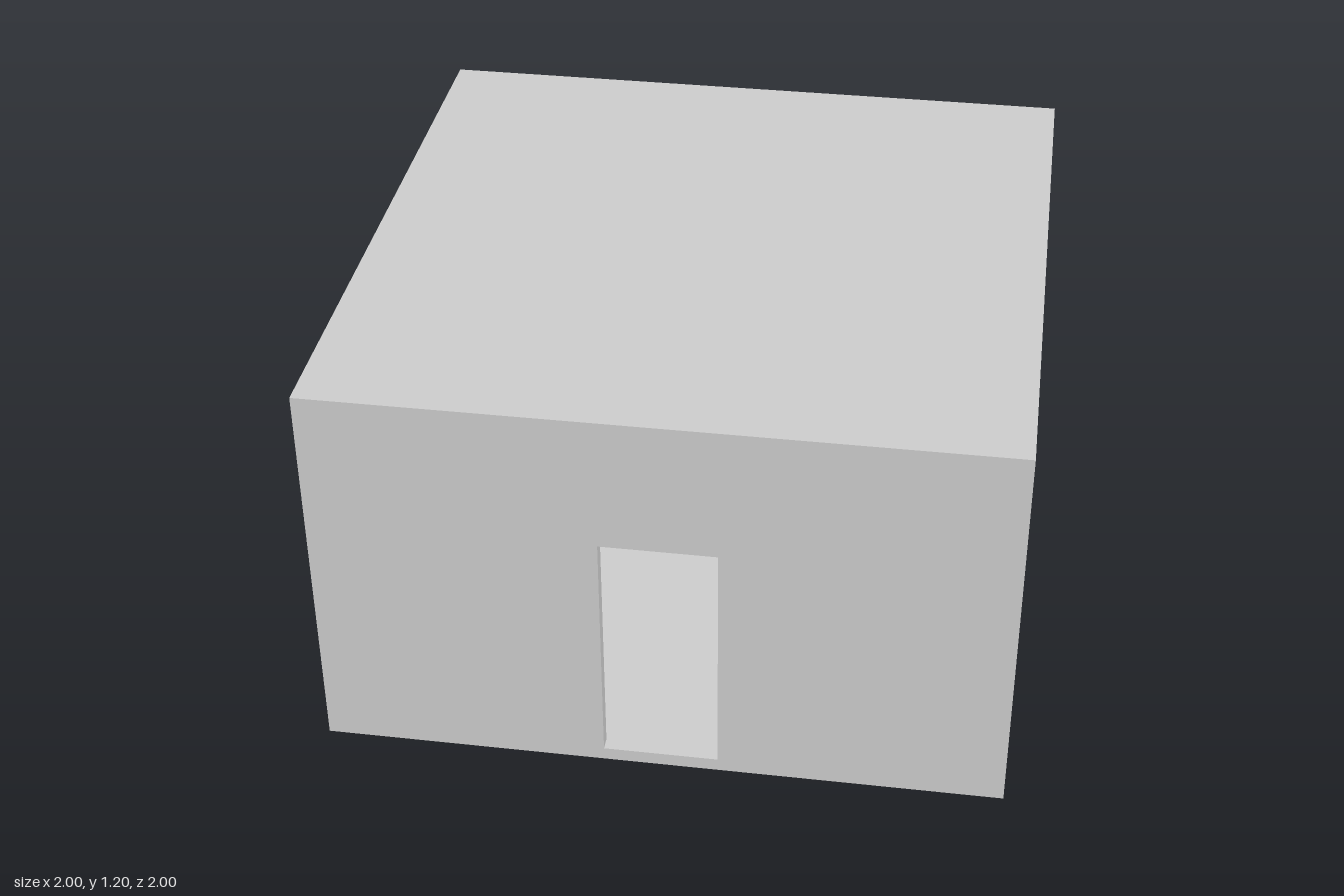
import * as THREE from 'three';

const SIZE = 2, HEIGHT = 1.2, T = 0.04;
const DOOR = { half: 0.168, bottom: T, top: 0.787 };

// Rectangular panel, outer face on z = 0 facing +z, with its inner rim mitred by T
function panelGeometry(w, h, withDoor) {
  const shape = new THREE.Shape([
    new THREE.Vector2(-w / 2, -h / 2), new THREE.Vector2(w / 2, -h / 2),
    new THREE.Vector2(w / 2, h / 2), new THREE.Vector2(-w / 2, h / 2),
  ]);
  if (withDoor) {
    const b = DOOR.bottom - h / 2, t = DOOR.top - h / 2, d = DOOR.half;
    shape.holes.push(new THREE.Path([
      new THREE.Vector2(-d, b), new THREE.Vector2(-d, t),
      new THREE.Vector2(d, t), new THREE.Vector2(d, b),
    ]));
  }
  const geo = new THREE.ExtrudeGeometry(shape, { depth: T, bevelEnabled: false });
  geo.translate(0, 0, -T);
  const p = geo.attributes.position;
  for (let i = 0; i < p.count; i++) {
    if (p.getZ(i) > -T / 2) continue;
    const x = p.getX(i), y = p.getY(i);
    if (Math.abs(x) > w / 2 - 1e-4) p.setX(i, x - Math.sign(x) * T);
    if (Math.abs(y) > h / 2 - 1e-4) p.setY(i, y - Math.sign(y) * T);
  }
  geo.computeVertexNormals();
  return geo;
}

export function createModel() {
  const group = new THREE.Group();
  group.name = 'room';
  const material = new THREE.MeshStandardMaterial({ color: 0xcccccc });

  // Four walls, each with a central doorway
  const wallGeo = panelGeometry(SIZE, HEIGHT, true);
  ['frontWall', 'leftWall', 'backWall', 'rightWall'].forEach((name, i) => {
    const angle = i * Math.PI / 2;
    const wall = new THREE.Mesh(wallGeo, material);
    wall.name = name;
    wall.rotation.y = angle;
    wall.position.set(Math.sin(angle) * SIZE / 2, HEIGHT / 2, Math.cos(angle) * SIZE / 2);
    group.add(wall);
  });

  // Floor and flat roof
  const slabGeo = panelGeometry(SIZE, SIZE, false);
  for (const [name, y, turn] of [['floor', 0, 1], ['roof', HEIGHT, -1]]) {
    const slab = new THREE.Mesh(slabGeo, material);
    slab.name = name;
    slab.rotation.x = turn * Math.PI / 2;
    slab.position.y = y;
    group.add(slab);
  }
  return group;
}
